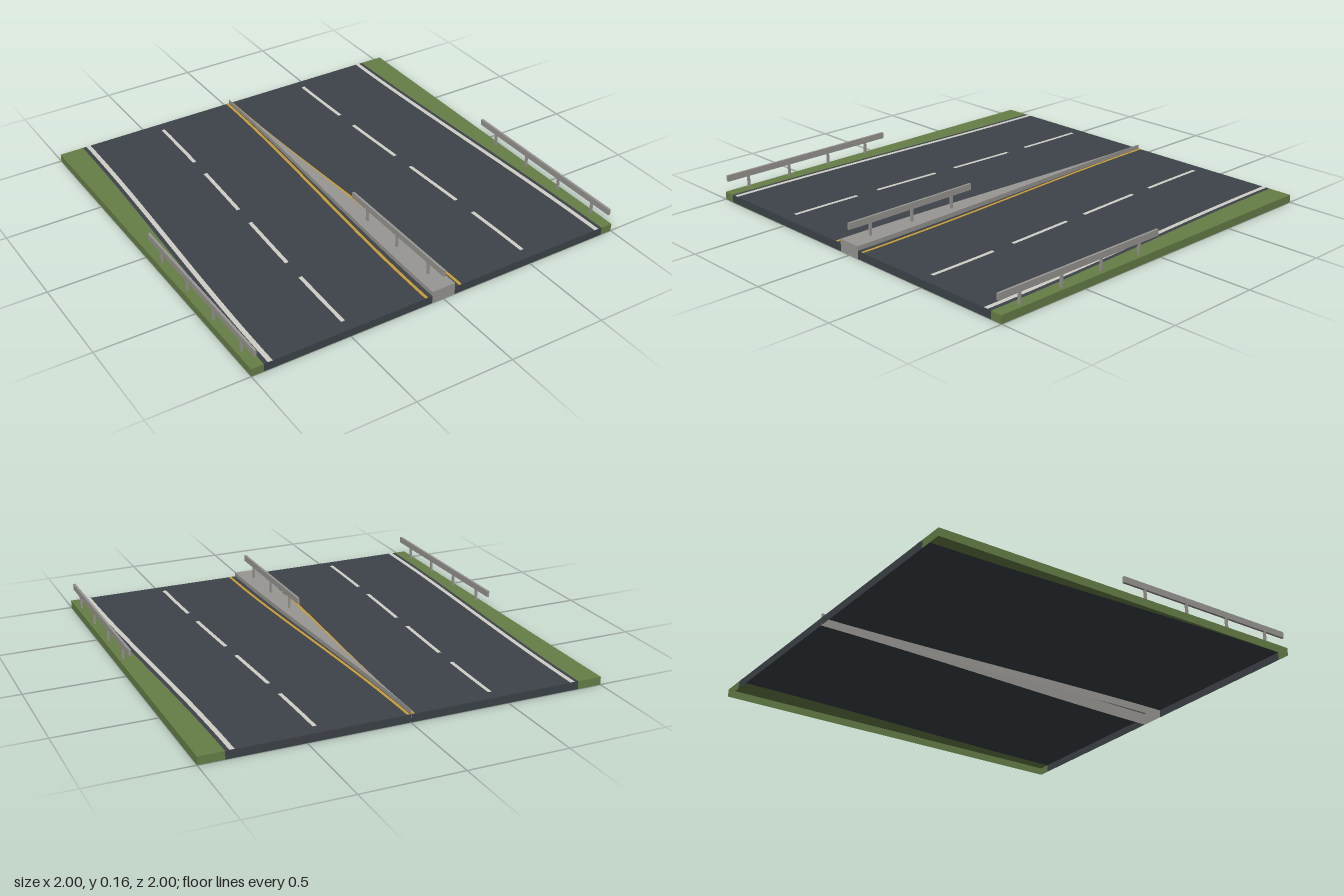
import * as THREE from 'three';

const SURFACE = 0.04, MEDIAN_TOP = 0.0625;

export function createModel() {
  const group = new THREE.Group();
  const material = (name, color) => {
    const m = new THREE.MeshStandardMaterial({ color, side: THREE.DoubleSide });
    m.name = name;
    return m;
  };
  const asphalt = material('asphalt', 0x3d4349);
  const grass = material('grass', 0x667f47);
  const concrete = material('concrete and steel', 0x989692);
  const white = material('white paint', 0xd0cfc6);
  const yellow = material('yellow paint', 0xc99d36);

  const add = (name, geometry, mat) => {
    const mesh = new THREE.Mesh(geometry, mat);
    mesh.name = name;
    group.add(mesh);
    return mesh;
  };

  // Smooth widening of the carriageway from the back (0) to the front (1)
  const ease = z => THREE.MathUtils.smoothstep(z, -1, 1);
  const widen = (back, front) => z => back + (front - back) * ease(z);
  const medianEdge = widen(0.001, 0.0625);
  const roadEdge = widen(0.875, 0.9375);
  const outerEdge = () => 1;

  // Ribbon along z between two edges, each given as x(z) and a height
  function ribbon(name, mat, side, xa, ya, xb, yb, z0 = -1, z1 = 1) {
    const steps = Math.max(4, Math.round((z1 - z0) * 12));
    const pos = [], index = [];
    for (let i = 0; i <= steps; i++) {
      const z = z0 + (z1 - z0) * i / steps;
      const a = [side * xa(z), ya, z], b = [side * xb(z), yb, z];
      pos.push(...(side > 0 ? [...a, ...b] : [...b, ...a]));
      if (i < steps) {
        const k = i * 2;
        index.push(k, k + 2, k + 1, k + 1, k + 2, k + 3);
      }
    }
    const g = new THREE.BufferGeometry();
    g.setAttribute('position', new THREE.Float32BufferAttribute(pos, 3));
    g.setIndex(index);
    g.computeVertexNormals();
    return add(name, g, mat);
  }

  // Upright end face between two x values
  function endFace(name, mat, x0, x1, height, z) {
    const g = new THREE.PlaneGeometry(Math.abs(x1 - x0), height);
    if (z < 0) g.rotateY(Math.PI);
    g.translate((x0 + x1) / 2, height / 2, z);
    add(name, g, mat);
  }

  // Painted line of constant width around a centre curve
  function line(name, mat, side, centre, width, z0, z1) {
    ribbon(name, mat, side, z => centre(z) - width / 2, SURFACE + 0.0015,
      z => centre(z) + width / 2, SURFACE + 0.0015, z0, z1);
  }

  // Rail on square posts
  function guardRail(name, x, ground, bottom, z0, posts) {
    const length = 1 - z0;
    const rail = new THREE.BoxGeometry(0.012, 0.032, length);
    rail.translate(x, bottom + 0.016, z0 + length / 2);
    add(name, rail, concrete);
    for (const z of posts) {
      const h = bottom + 0.01 - ground;
      const post = new THREE.BoxGeometry(0.01, h, 0.012);
      post.translate(x, ground + h / 2, z);
      add(name + 'Post', post, concrete);
    }
  }

  for (const side of [1, -1]) {
    // Carriageway and verge, open underneath
    ribbon('carriageway', asphalt, side, medianEdge, SURFACE, roadEdge, SURFACE);
    ribbon('verge', grass, side, roadEdge, SURFACE, outerEdge, SURFACE);
    ribbon('vergeSide', grass, side, outerEdge, SURFACE, outerEdge, 0);
    for (const z of [-1, 1]) {
      endFace('carriagewayEnd', asphalt, side * medianEdge(z), side * roadEdge(z), SURFACE, z);
      endFace('vergeEnd', grass, side * roadEdge(z), side, SURFACE, z);
    }

    // Raised median, half on each side
    ribbon('medianTop', concrete, side, () => 0, MEDIAN_TOP, medianEdge, MEDIAN_TOP);
    ribbon('medianSide', concrete, side, medianEdge, MEDIAN_TOP, medianEdge, 0);

    // Lane markings
    line('edgeLine', white, side, widen(0.844, 0.906), 0.024, -1, 1);
    line('medianLine', yellow, side, widen(0.0125, 0.094), 0.0156, -1, 1);
    for (let i = 0; i < 4; i++) {
      const mid = -0.75 + i * 0.5;
      line('laneDash', white, side, widen(0.4375, 0.5), 0.02, mid - 0.1875, mid + 0.1875);
    }

    guardRail('sideRail', side * 0.977, SURFACE, 0.1, 0, [0.125, 0.375, 0.625, 0.875]);
  }

  for (const z of [-1, 1]) {
    endFace('medianEnd', concrete, -medianEdge(z), medianEdge(z), MEDIAN_TOP, z);
  }
  guardRail('medianRail', 0, MEDIAN_TOP, 0.125, 0.25, [0.375, 0.625, 0.875]);

  return group;
}
